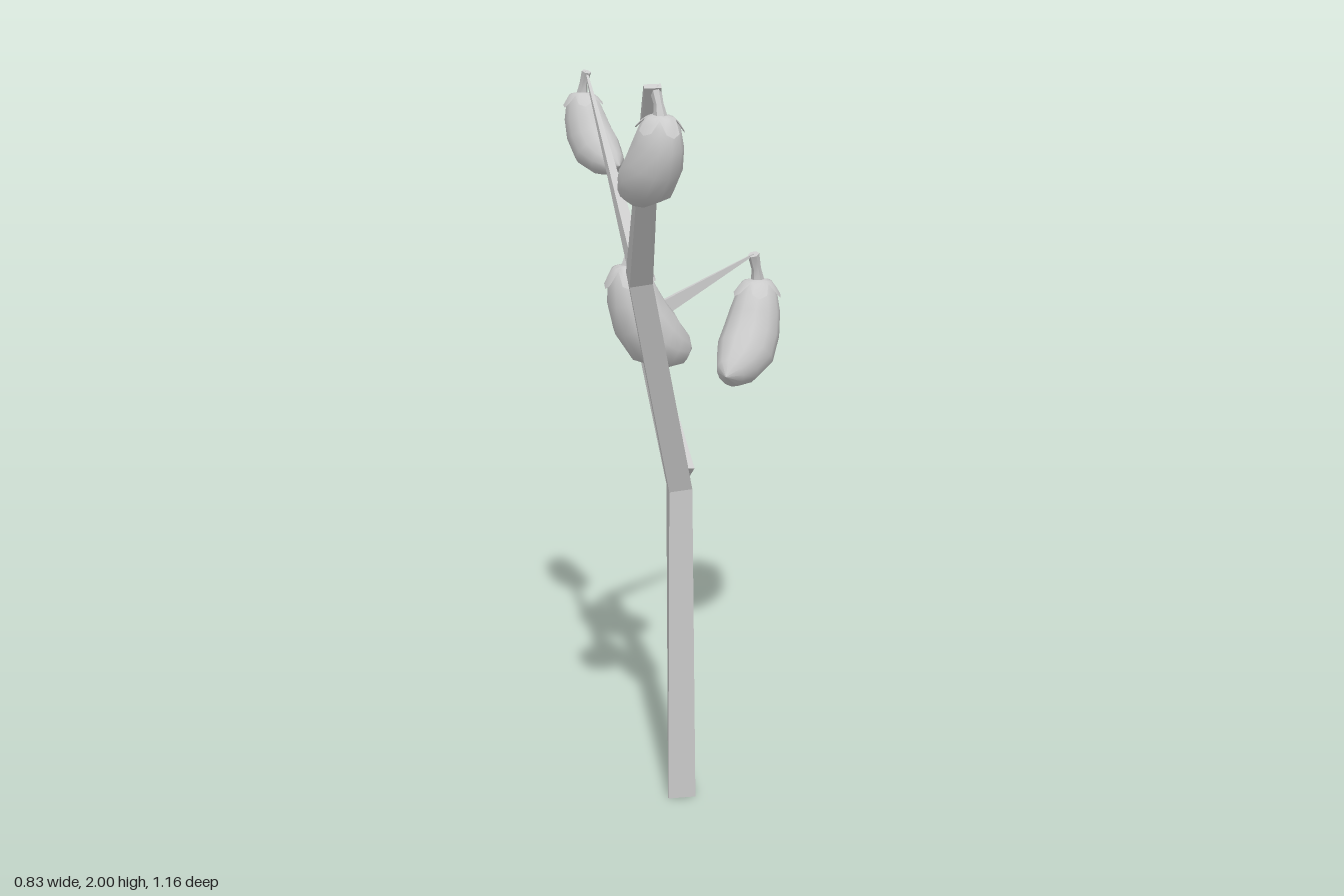
import * as THREE from 'three';
import { toCreasedNormals } from 'three/addons/utils/BufferGeometryUtils.js';

const V = (x, y, z) => new THREE.Vector3(x, y, z);

// Closed-round surface from rows of points f(row, column); rows run along the part
function surface(rows, cols, f, capped = false) {
  const pos = [], idx = [];
  for (let i = 0; i < rows; i++)
    for (let j = 0; j < cols; j++) pos.push(...f(i, j).toArray());
  for (let i = 0; i < rows - 1; i++)
    for (let j = 0; j < cols; j++) {
      const k = (j + 1) % cols;
      const a = i * cols + j, b = i * cols + k, c = a + cols, d = b + cols;
      idx.push(a, b, c, b, d, c);
    }
  if (capped) {
    const e = (rows - 1) * cols;
    for (let j = 1; j < cols - 1; j++) idx.push(0, j + 1, j, e, e + j, e + j + 1);
  }
  const g = new THREE.BufferGeometry();
  g.setAttribute('position', new THREE.Float32BufferAttribute(pos, 3));
  g.setIndex(idx);
  g.computeVertexNormals();
  return g;
}

// Rectangular branch through points, each with its [width, depth]; twist turns it about its length
function branch(points, sizes, twist = 0) {
  const n = points.length;
  const ref = V(-Math.sin(twist), 0, Math.cos(twist));
  const dir = (i) => points[i + 1].clone().sub(points[i]).normalize();
  return surface(n, 4, (i, j) => {
    const t = dir(Math.min(i, n - 2)).add(dir(Math.max(i - 1, 0))).normalize();
    const side = t.clone().cross(ref).normalize();
    const depth = side.clone().cross(t);
    const [w, d] = sizes[i];
    const sx = [1, 1, -1, -1][j], sd = [1, -1, -1, 1][j];
    return points[i].clone().addScaledVector(side, sx * w / 2).addScaledVector(depth, sd * d / 2);
  }, true);
}

// Point on a bent round body; rings are [x, y, radius] in the xy plane
function ringPoint(rings, t, angle, grow = 0) {
  const i = Math.min(Math.floor(t), rings.length - 2), f = t - i;
  const mix = (k) => rings[i][k] + (rings[i + 1][k] - rings[i][k]) * f;
  const a = rings[Math.max(Math.round(t) - 1, 0)];
  const b = rings[Math.min(Math.round(t) + 1, rings.length - 1)];
  const tan = V(b[0] - a[0], b[1] - a[1], 0).normalize();
  const r = mix(2) + grow;
  return V(mix(0) - tan.y * r * Math.cos(angle), mix(1) + tan.x * r * Math.cos(angle),
    -r * Math.sin(angle));
}

const BODY = [[-0.022, -0.072, 0], [-0.022, -0.078, 0.03], [-0.02, -0.105, 0.054],
  [-0.01, -0.16, 0.069], [0.01, -0.217, 0.078], [0.045, -0.268, 0.081],
  [0.09, -0.297, 0.064], [0.128, -0.308, 0.042], [0.152, -0.312, 0]];
const STEM = [[0.003, 0, 0.016], [-0.014, -0.045, 0.013], [-0.022, -0.085, 0.02]];
const LOBE = [0.4, 0.95, 1.05, 0.95];

export function createModel() {
  const root = new THREE.Group();
  const smooth = new THREE.MeshStandardMaterial({ color: 0xcccccc, side: THREE.DoubleSide });
  const flat = smooth.clone();
  flat.flatShading = true;
  const add = (parent, name, geometry, material) => {
    const mesh = new THREE.Mesh(geometry, material);
    mesh.name = name;
    parent.add(mesh);
  };

  // Trunk and branches
  const base = V(-0.078, 0, -0.06), fork = V(-0.08, 0.91, -0.057);
  const frontFork = V(-0.252, 1.51, 0.13), backFork = V(-0.035, 1.255, -0.44);
  const tips = {
    front: V(-0.362, 1.995, 0.515), upperBack: V(-0.23, 1.945, -0.285),
    middle: V(-0.145, 1.55, -0.178), left: V(0.325, 1.4, -0.495),
  };
  add(root, 'trunk', branch([base, fork, frontFork, tips.front],
    [[0.075, 0.008], [0.06, 0.054], [0.055, 0.055], [0.036, 0.012]], 0.25), flat);
  add(root, 'backBranch', branch([V(-0.075, 0.935, -0.062), backFork],
    [[0.055, 0.07], [0.032, 0.04]]), flat);
  add(root, 'upperBackTwig', branch([frontFork, tips.upperBack],
    [[0.035, 0.035], [0.005, 0.005]]), flat);
  add(root, 'middleTwig', branch([backFork, tips.middle], [[0.022, 0.04], [0.004, 0.004]]), flat);
  add(root, 'leftTwig', branch([backFork, tips.left], [[0.05, 0.016], [0.005, 0.004]]), flat);

  // Shared fruit geometries: bent body, lobed calyx, short stem
  const turn = (j, n) => (j / n) * Math.PI * 2;
  const body = surface(BODY.length, 12, (i, j) => ringPoint(BODY, i, turn(j, 12)));
  const calyx = surface(4, 20, (i, j) =>
    ringPoint(BODY, 0.5 + (i / 3) * 1.75 * LOBE[j % 4], turn(j, 20), 0.004 + 0.0015 * i));
  const stem = toCreasedNormals(
    surface(STEM.length, 6, (i, j) => ringPoint(STEM, i, turn(j, 6)), true), 0.9);

  // Fruit: name, hanging point, heading of its tip [x, z], scale [bend, height, width]
  const fruits = [
    ['frontFruit', V(-0.353, 1.992, 0.508), [-0.15, -0.99], [0.88, 0.72, 0.75]],
    ['upperBackFruit', tips.upperBack, [0.3, 0.95], [0.86, 0.7, 0.7]],
    ['middleFruit', tips.middle, [1, 0], [1, 1, 1]],
    ['leftFruit', V(0.328, 1.4, -0.498), [-0.77, 0.64], [1.15, 1.01, 1]],
  ];
  for (const [name, at, [dx, dz], scale] of fruits) {
    const fruit = new THREE.Group();
    fruit.name = name;
    fruit.position.copy(at);
    fruit.rotation.y = Math.atan2(-dz, dx);
    fruit.scale.set(...scale);
    add(fruit, 'fruitBody', body, smooth);
    add(fruit, 'calyx', calyx, smooth);
    add(fruit, 'stem', stem, smooth);
    root.add(fruit);
  }
  return root;
}
